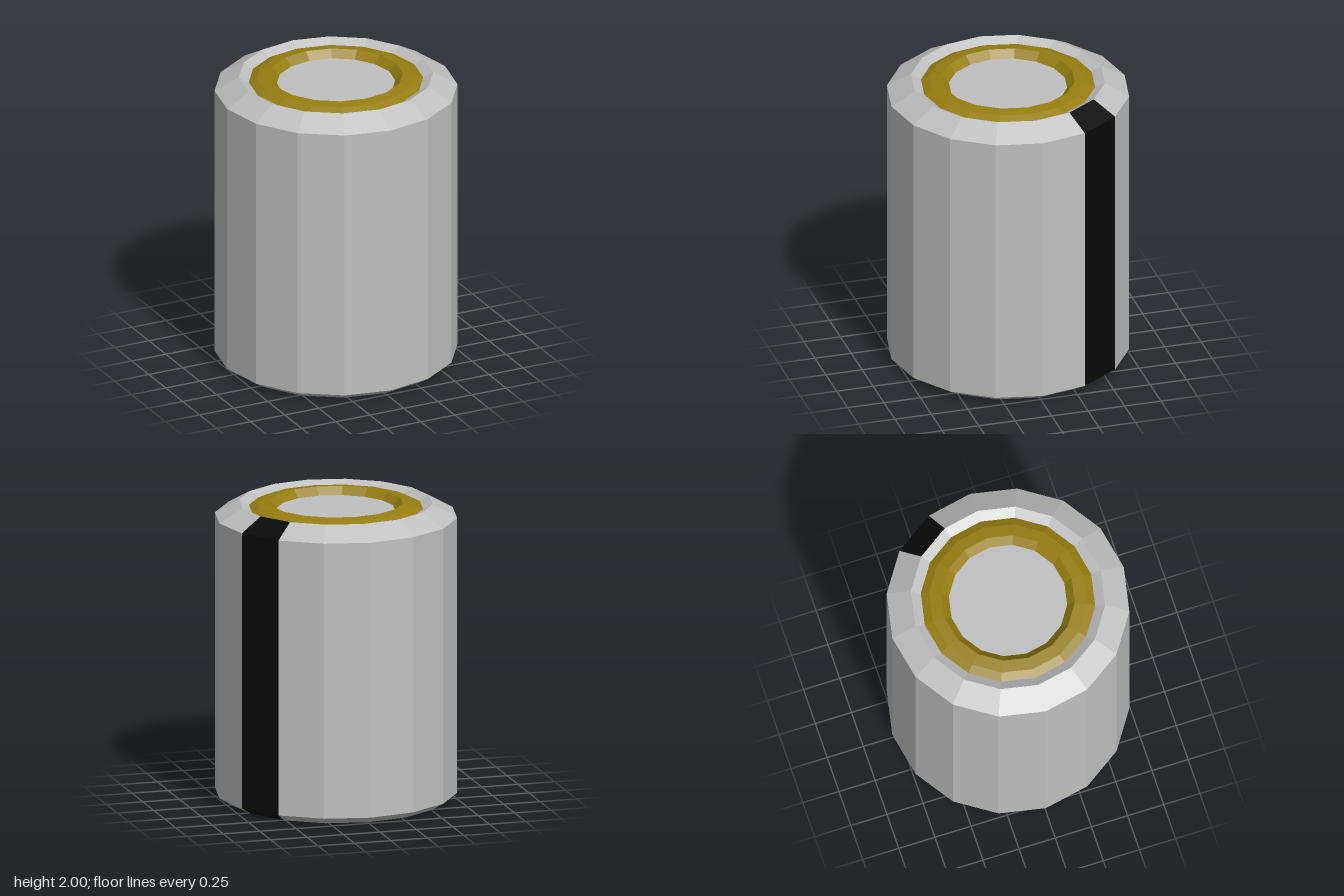
import * as THREE from 'three';

const SIDES = 16;
const STEP = (Math.PI * 2) / SIDES;

// Faceted lathe covering `count` of the sides, starting at side `first`
function facetedLathe(name, profile, material, first = 0, count = SIDES) {
  const points = profile.map(([r, y]) => new THREE.Vector2(r, y));
  const geometry = new THREE.LatheGeometry(points, count, first * STEP, count * STEP).toNonIndexed();
  geometry.computeVertexNormals();
  const mesh = new THREE.Mesh(geometry, material);
  mesh.name = name;
  return mesh;
}

export function createModel() {
  const silver = new THREE.MeshStandardMaterial({ color: 0xc0c0c0 });
  silver.name = 'silver';
  const gold = new THREE.MeshStandardMaterial({ color: 0x967e10 });
  gold.name = 'gold';
  const black = new THREE.MeshStandardMaterial({ color: 0x0a0a0a });
  black.name = 'black';

  const model = new THREE.Group();
  model.name = 'canister';

  // Outer shell with chamfered ends; one side is a black stripe
  const shell = [[0.72, 0], [0.8, 0.05], [0.8, 1.91], [0.64, 2]];
  const stripeSide = 5;
  model.add(
    facetedLathe('shell', shell, silver, stripeSide + 1, SIDES - 1),
    facetedLathe('stripe', shell, black, stripeSide, 1),

    // Top: sunken lip, raised gold ring, recessed centre
    facetedLathe('topLip', [[0.64, 2], [0.575, 1.965]], silver),
    facetedLathe('topRing', [[0.575, 1.965], [0.52, 1.99], [0.44, 2], [0.39, 1.95]], gold),
    facetedLathe('topCentre', [[0.39, 1.95], [0, 1.95]], silver),

    // Underside: recessed lip and shallow gold base
    facetedLathe('bottomLip', [[0.58, 0.07], [0.72, 0]], silver),
    facetedLathe('bottomPlate', [[0, 0.035], [0.34, 0.035], [0.58, 0.07]], gold),
  );
  return model;
}
